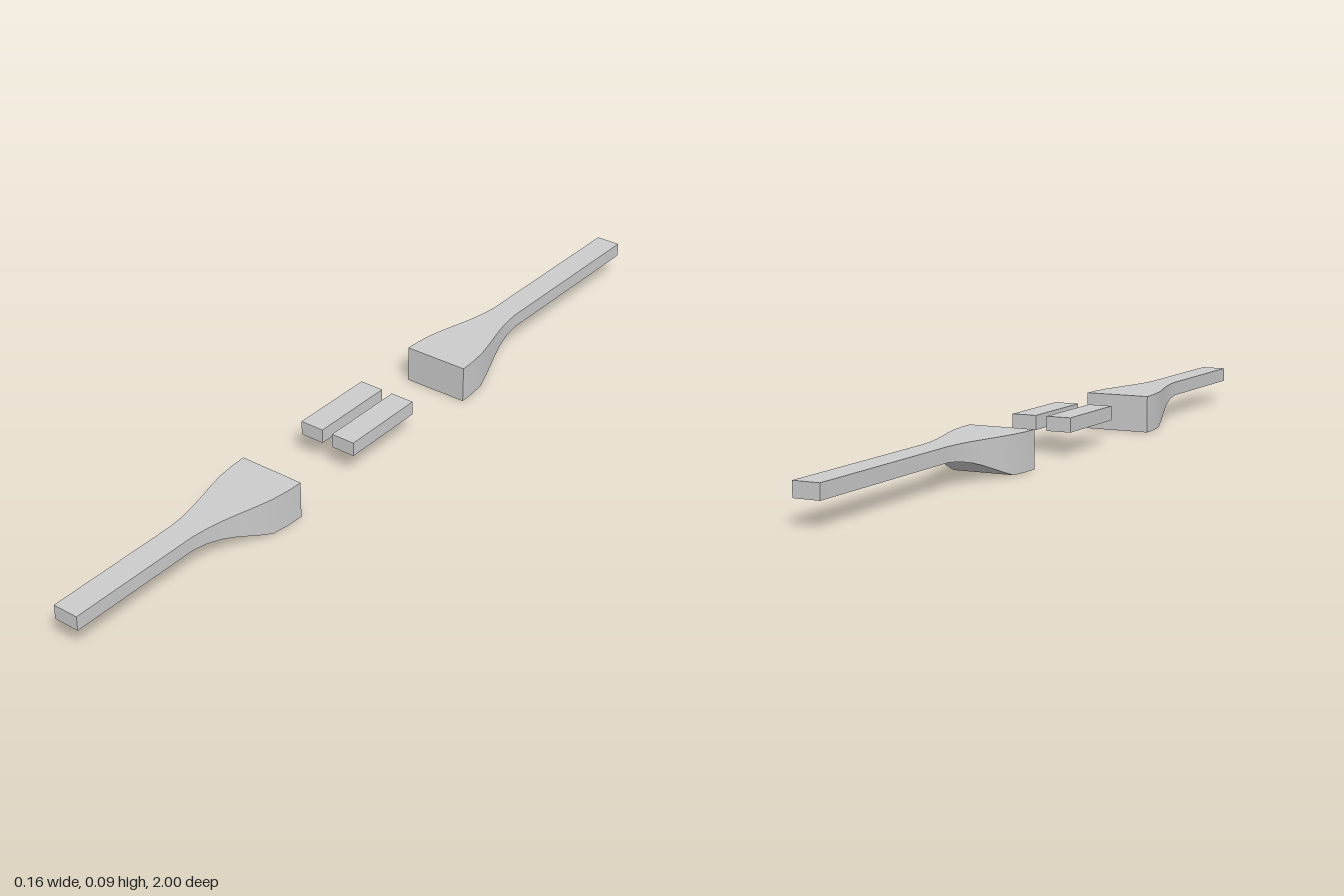
import * as THREE from 'three';
import { toCreasedNormals } from 'three/addons/utils/BufferGeometryUtils.js';

const TOP = 0.089;
const material = new THREE.MeshStandardMaterial({ color: 0xcccccc });

// [distance from the wide end, half width, underside height]
const FLARE = [
  [0, 0.081, 0], [0.04, 0.0795, 0], [0.085, 0.074, 0], [0.12, 0.066, 0.012],
  [0.15, 0.058, 0.023], [0.18, 0.05, 0.034], [0.21, 0.0425, 0.043],
  [0.25, 0.035, 0.051], [0.29, 0.031, 0.055],
];

// Rectangular cross-sections lofted along +z, closed at both ends
function strapGeometry(length) {
  const sections = [...FLARE, [length, 0.031, 0.055]];
  const positions = [];
  const index = [];
  for (const [z, w, y] of sections) {
    positions.push(-w, y, z, w, y, z, w, TOP, z, -w, TOP, z);
  }
  const quad = (a, b, c, d) => index.push(a, b, c, a, c, d);
  for (let s = 0; s < sections.length - 1; s++) {
    for (let k = 0; k < 4; k++) {
      const a = s * 4 + k;
      const b = s * 4 + (k + 1) % 4;
      quad(a, b, b + 4, a + 4);
    }
  }
  quad(3, 2, 1, 0);
  const e = (sections.length - 1) * 4;
  quad(e, e + 1, e + 2, e + 3);

  const geometry = new THREE.BufferGeometry();
  geometry.setAttribute('position', new THREE.Float32BufferAttribute(positions, 3));
  geometry.setIndex(index);
  return toCreasedNormals(geometry, 0.6);
}

export function createModel() {
  const model = new THREE.Group();
  const add = (name, geometry) => {
    const mesh = new THREE.Mesh(geometry, material);
    mesh.name = name;
    model.add(mesh);
    return mesh;
  };

  // Flared straps pointing away from the middle
  add('frontStrap', strapGeometry(0.627)).position.z = 0.373;
  const back = add('backStrap', strapGeometry(0.77));
  back.rotation.y = Math.PI;
  back.position.z = -0.23;

  // Pair of loose bars between the straps
  for (const side of [-1, 1]) {
    const bar = add(side > 0 ? 'leftBar' : 'rightBar', new THREE.BoxGeometry(0.06, 0.034, 0.22));
    bar.position.set(side * 0.044, 0.072, 0.071);
  }
  return model;
}
